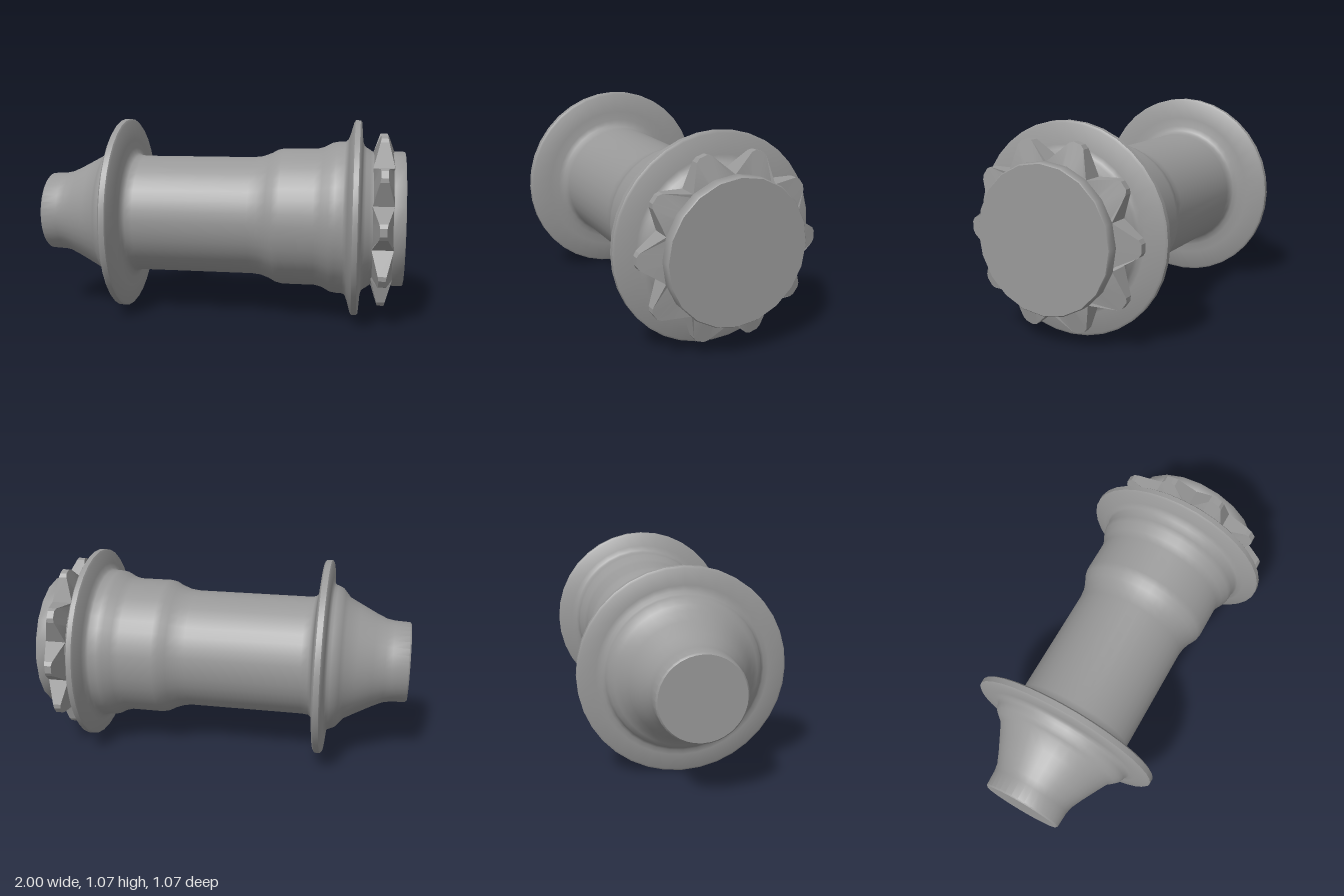
import * as THREE from 'three';
import { toCreasedNormals } from 'three/addons/utils/BufferGeometryUtils.js';

const metal = new THREE.MeshStandardMaterial({ color: 0x999999 });
metal.name = 'grey metal';

// Solid of revolution about the x axis; profile is [x, radius] pairs from left to right
function turned(name, profile, sides) {
  const lathe = new THREE.LatheGeometry(profile.map(([x, r]) => new THREE.Vector2(r, x)), sides);
  lathe.rotateZ(-Math.PI / 2);
  const mesh = new THREE.Mesh(toCreasedNormals(lathe, 0.75), metal);
  mesh.name = name;
  return mesh;
}

// Ring of bevelled teeth: each cross-section is a trapezoid that narrows outward
function toothedRing(teeth, centreX) {
  const inner = 0.34, valley = 0.363, tip = 0.475;
  const halfWidth = (r) => 0.056 - 0.038 * (r - valley) / (tip - valley);
  const step = (Math.PI * 2) / teeth;
  // Tooth outline as [share of the pitch, radius]
  const outline = [[-0.5, valley], [-0.14, tip - 0.012], [-0.07, tip], [0.07, tip], [0.14, tip - 0.012]];
  const sections = [];
  for (let i = 0; i < teeth; i++) {
    for (const [offset, r] of outline) {
      const a = (i + offset) * step, w = halfWidth(r);
      const at = (x, rad) => [centreX + x, -Math.sin(a) * rad, Math.cos(a) * rad];
      sections.push([at(-0.056, inner), at(-w, r), at(w, r), at(0.056, inner)]);
    }
  }
  const pos = [];
  sections.forEach((s, i) => {
    const n = sections[(i + 1) % sections.length];
    for (let k = 0; k < 3; k++) {
      pos.push(...s[k], ...n[k], ...s[k + 1], ...s[k + 1], ...n[k], ...n[k + 1]);
    }
  });
  const geometry = new THREE.BufferGeometry();
  geometry.setAttribute('position', new THREE.Float32BufferAttribute(pos, 3));
  const mesh = new THREE.Mesh(toCreasedNormals(geometry, 0.3), metal);
  mesh.name = 'sprocketTeeth';
  return mesh;
}

export function createModel() {
  const group = new THREE.Group();
  group.name = 'wheelHub';

  // Closed nose flaring up to the left flange
  const nose = [
    [-1, 0], [-1, 0.21], [-0.992, 0.218], [-0.91, 0.222], [-0.87, 0.23], [-0.81, 0.258],
    [-0.73, 0.3], [-0.665, 0.335], [-0.645, 0.36], [-0.625, 0.383], [-0.6, 0.395],
  ];
  // Spoke flanges, filleted into the shell on both sides
  const leftFlange = [
    [-0.584, 0.4], [-0.574, 0.414], [-0.57, 0.44], [-0.564, 0.522], [-0.556, 0.533], [-0.527, 0.533],
    [-0.519, 0.522], [-0.507, 0.42], [-0.5, 0.37], [-0.492, 0.343], [-0.478, 0.33],
  ];
  const rightFlange = [
    [0.682, 0.418], [0.695, 0.428], [0.706, 0.455], [0.725, 0.522], [0.733, 0.533],
    [0.759, 0.533], [0.767, 0.522], [0.775, 0.42], [0.782, 0.397],
  ];
  // Barrel with its stepped shoulders
  const barrel = [
    [-0.44, 0.326], [0.18, 0.326], [0.23, 0.332], [0.28, 0.35], [0.315, 0.369],
    [0.35, 0.377], [0.53, 0.377], [0.57, 0.388], [0.61, 0.41], [0.64, 0.416],
  ];
  // Neck that carries the teeth
  const neck = [[0.795, 0.386], [0.815, 0.373], [0.835, 0.358], [0.95, 0.355]];
  group.add(turned('hubShell', [...nose, ...leftFlange, ...barrel, ...rightFlange, ...neck], 36));

  group.add(toothedRing(10, 0.886));

  // Closed cap at the right end
  group.add(turned('endCap', [
    [0.935, 0], [0.935, 0.36], [0.943, 0.366], [0.994, 0.366], [1, 0.361], [1, 0],
  ], 20));

  group.children.forEach((part) => { part.position.y = 0.533; });
  return group;
}
